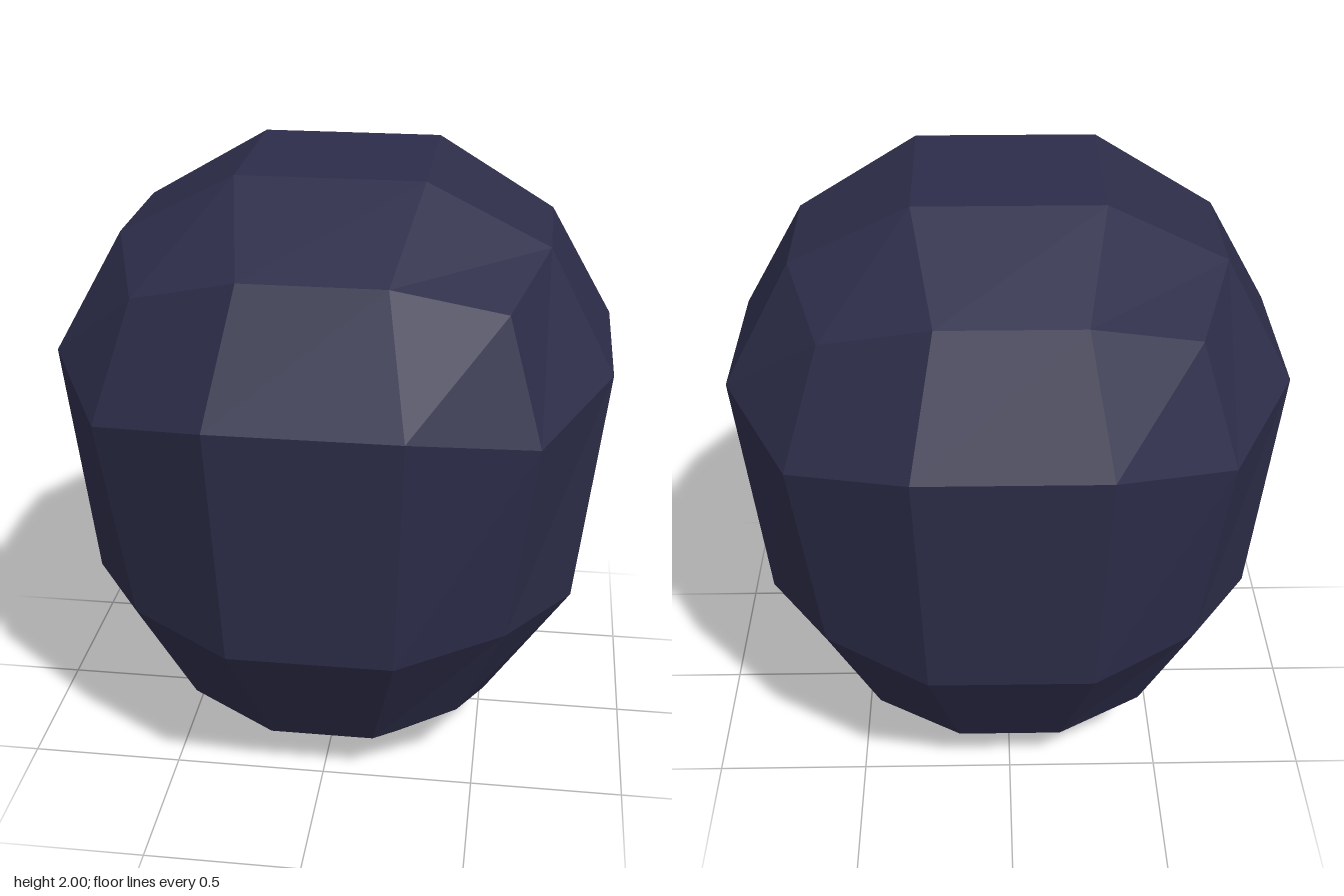
import * as THREE from 'three';

// Per level, from the bottom: [across, along, height] of each kind of grid point
const LEVELS = [
  { cap: [0.23, 0.23, 0], edge: [0.52, 0.17, 0.165], corner: [0.44, 0.44, 0.25] },
  { edge: [0.795, 0.26, 0.615], corner: [0.59, 0.59, 0.64] },
  { edge: [0.88, 0.29, 1.41], corner: [0.67, 0.67, 1.32] },
  { cap: [0.29, 0.29, 2], edge: [0.67, 0.22, 1.79], corner: [0.56, 0.56, 1.69] },
];

export function createModel() {
  const group = new THREE.Group();
  group.name = 'roundedBoulder';

  const slate = new THREE.MeshStandardMaterial({ color: 0x2d2d4a, flatShading: true });
  slate.name = 'dark slate blue';

  // A 3 x 3 x 3 box grid rounded out, tapering towards the base
  const box = new THREE.BoxGeometry(3, 3, 3, 3, 3, 3);
  const pos = box.attributes.position;
  for (let i = 0; i < pos.count; i++) {
    const x = pos.getX(i), z = pos.getZ(i);
    const level = LEVELS[Math.round(pos.getY(i) + 1.5)];
    const outerX = Math.abs(x) > 1, outerZ = Math.abs(z) > 1;
    const kind = outerX && outerZ ? 'corner' : outerX || outerZ ? 'edge' : 'cap';
    const [across, along, height] = level[kind];
    pos.setXYZ(i,
      Math.sign(x) * (outerX ? across : along),
      height,
      Math.sign(z) * (outerZ ? across : along));
  }
  const geometry = box.toNonIndexed();
  geometry.clearGroups();
  geometry.computeVertexNormals();

  const body = new THREE.Mesh(geometry, slate);
  body.name = 'body';
  group.add(body);
  return group;
}
